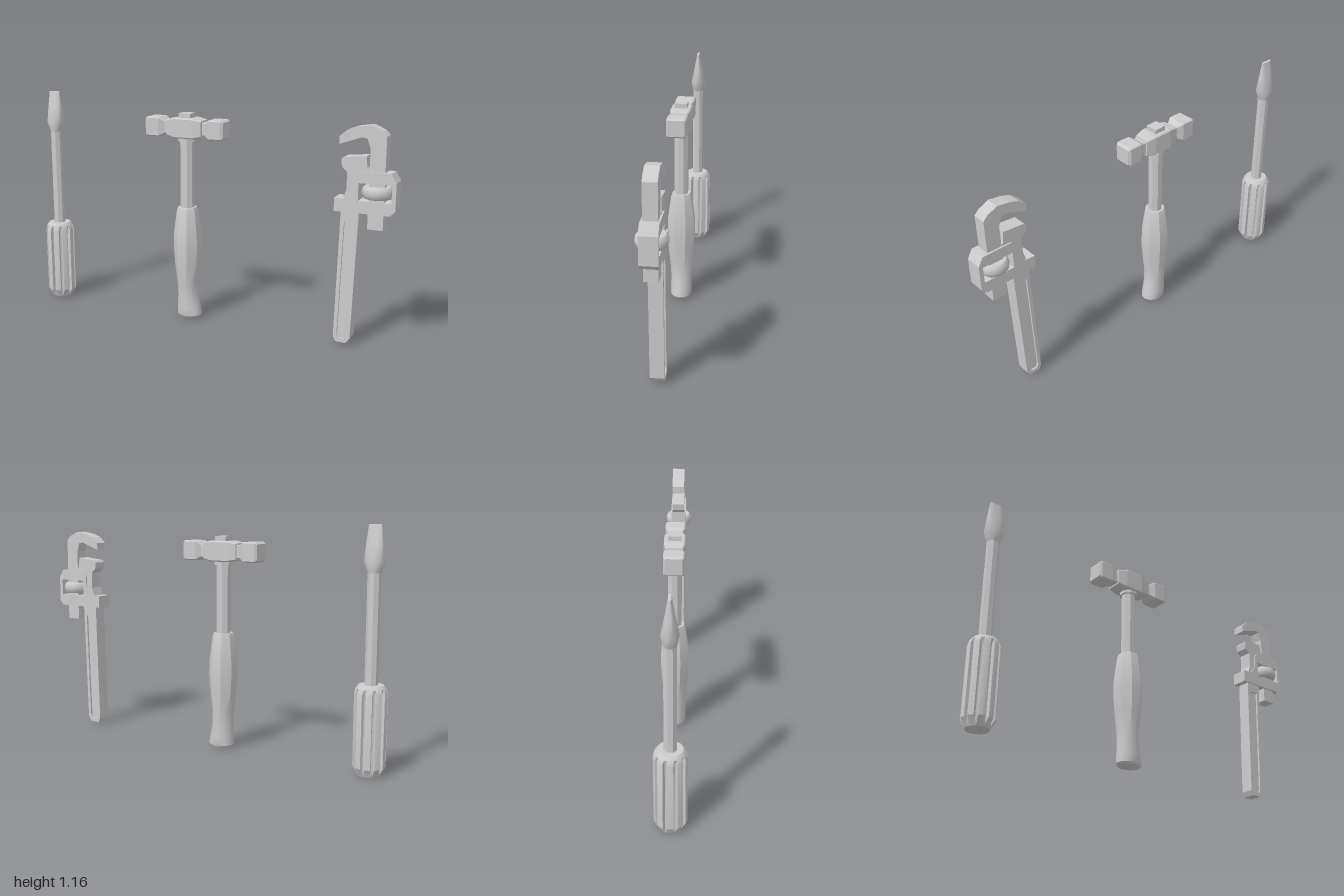
import * as THREE from 'three';
import { toCreasedNormals } from 'three/addons/utils/BufferGeometryUtils.js';

const TAU = Math.PI * 2;
const material = new THREE.MeshStandardMaterial({ color: 0xcccccc });

function add(parent, name, geometry, x = 0, y = 0, z = 0) {
  const mesh = new THREE.Mesh(geometry, material);
  mesh.name = name;
  mesh.position.set(x, y, z);
  parent.add(mesh);
  return mesh;
}

// Closed loft along y: each row becomes a ring of n points given by section(row, j) -> [x, z].
function loft(rows, n, section, crease = 0.6) {
  const pos = [], index = [];
  rows.forEach(row => {
    for (let j = 0; j < n; j++) {
      const [x, z] = section(row, j);
      pos.push(x, row.y, z);
    }
  });
  for (let i = 0; i < rows.length - 1; i++) {
    for (let j = 0; j < n; j++) {
      const a = i * n + j, b = i * n + (j + 1) % n;
      index.push(a, a + n, b, b, a + n, b + n);
    }
  }
  // End caps
  const last = rows.length - 1, bottom = rows.length * n, top = bottom + 1;
  pos.push(rows[0].x || 0, rows[0].y, 0, rows[last].x || 0, rows[last].y, 0);
  for (let j = 0; j < n; j++) {
    const k = (j + 1) % n;
    index.push(bottom, j, k, top, last * n + k, last * n + j);
  }
  const g = new THREE.BufferGeometry();
  g.setAttribute('position', new THREE.Float32BufferAttribute(pos, 3));
  g.setIndex(index);
  return toCreasedNormals(g, crease);
}

// Eight-sided bar with flat faces to the front and side
function octagonBar(radius, height) {
  const g = new THREE.CylinderGeometry(radius, radius, height, 8).rotateY(Math.PI / 8);
  return toCreasedNormals(g, 0.6);
}

const toShape = pts => new THREE.Shape(pts.map(p => new THREE.Vector2(...p)));

// Plate of the given thickness, centred on z = 0
function plate(pts, depth, hole) {
  const shape = toShape(pts);
  if (hole) shape.holes.push(toShape(hole));
  return new THREE.ExtrudeGeometry(shape, { depth, bevelEnabled: false }).translate(0, 0, -depth / 2);
}

function createScrewdriver() {
  const g = new THREE.Group();
  g.name = 'screwdriver';

  // Grip with grooves that fade out at the bevelled ends
  const ribs = 10, steps = [0, 0.3, 0.6, 0.7, 0.9];
  const gripRows = [
    { y: 0, r: 0.054, d: 0 }, { y: 0.012, r: 0.06, d: 0 }, { y: 0.042, r: 0.077, d: 0.015 },
    { y: 0.39, r: 0.077, d: 0.015 }, { y: 0.415, r: 0.07, d: 0 }, { y: 0.43, r: 0.058, d: 0 },
  ];
  add(g, 'screwdriverGrip', loft(gripRows, ribs * 5, (row, j) => {
    const a = (Math.floor(j / 5) + steps[j % 5] - 0.3) / ribs * TAU;
    const r = row.r - (j % 5 > 2 ? row.d : 0);
    return [r * Math.cos(a), r * Math.sin(a)];
  }, 0.5));

  add(g, 'screwdriverShaft', octagonBar(0.031, 0.56), 0, 0.69);

  // Blade: round at the flare, flattened toward the tip
  const bladeRows = [
    { y: 0.945, rx: 0.03, rz: 0.03, e: 1 }, { y: 0.995, rx: 0.05, rz: 0.04, e: 1 },
    { y: 1.08, rx: 0.042, rz: 0.022, e: 0.75 }, { y: 1.165, rx: 0.032, rz: 0.007, e: 0.5 },
  ];
  add(g, 'screwdriverBlade', loft(bladeRows, 24, (row, j) => {
    const a = j / 24 * TAU;
    const bend = v => Math.sign(v) * Math.abs(v) ** row.e;
    return [row.rx * bend(Math.cos(a)), row.rz * bend(Math.sin(a))];
  }));
  g.position.x = -0.923;
  return g;
}

function createHammer() {
  const g = new THREE.Group();
  g.name = 'hammer';

  // Grip: oval at the foot, turning octagonal above (o = 1)
  const gripRows = [
    { y: 0.008, rx: 0.058, rz: 0.05, x: 0.011, o: 0 }, { y: 0.018, rx: 0.067, rz: 0.056, x: 0.01, o: 0 },
    { y: 0.06, rx: 0.063, rz: 0.056, x: 0.007, o: 0 }, { y: 0.12, rx: 0.054, rz: 0.055, x: 0.002, o: 0.1 },
    { y: 0.19, rx: 0.053, rz: 0.059, x: 0, o: 0.4 }, { y: 0.28, rx: 0.062, rz: 0.066, x: 0, o: 0.8 },
    { y: 0.38, rx: 0.069, rz: 0.071, x: 0, o: 1 }, { y: 0.46, rx: 0.067, rz: 0.069, x: 0, o: 1 },
    { y: 0.585, rx: 0.052, rz: 0.052, x: 0, o: 1 }, { y: 0.602, rx: 0.046, rz: 0.046, x: 0, o: 1 },
  ];
  add(g, 'hammerGrip', loft(gripRows, 16, (row, j) => {
    const a = j / 16 * TAU;
    const k = 1 + (j % 2 ? row.o * (1 / Math.cos(Math.PI / 8) - 1) : 0);
    return [row.x + row.rx * k * Math.cos(a), row.rz * k * Math.sin(a)];
  }));

  add(g, 'hammerShaft', octagonBar(0.037, 0.38), 0, 0.78);
  add(g, 'hammerCollar', octagonBar(0.048, 0.03), 0, 0.963);

  // Head: chamfered square section swept along x, mirrored about the middle
  const half = [[0.05, 0.052], [0.098, 0.042], [0.1, 0.034], [0.116, 0.034], [0.143, 0.05], [0.21, 0.05], [0.222, 0.041]];
  const headRows = [...half.map(([y, r]) => ({ y: -y, r })).reverse(), ...half.map(([y, r]) => ({ y, r }))];
  const headGeometry = loft(headRows, 8, (row, j) => {
    const c = row.r * 0.88;
    const corner = Math.floor(j / 2), flip = j % 2;
    const sx = [1, -1, -1, 1][corner], sz = [1, 1, -1, -1][corner];
    const xFirst = (corner % 2 === 0) === (flip === 0);
    return [sx * (xFirst ? row.r : c), sz * (xFirst ? c : row.r)];
  }, 0.2).rotateZ(-Math.PI / 2);
  add(g, 'hammerHead', headGeometry, 0, 1.017);

  add(g, 'shaftEnd', new THREE.BoxGeometry(0.064, 0.06, 0.064), 0, 1.062);
  g.position.x = -0.103;
  return g;
}

function createWrench() {
  const g = new THREE.Group();
  g.name = 'wrench';

  // Handle: raised rim around a recessed web
  const rim = [[0.737, 0.69], [0.72, 0.04], [0.732, 0.015], [0.785, 0.013], [0.805, 0.04], [0.826, 0.69]];
  const web = [[0.755, 0.625], [0.738, 0.055], [0.745, 0.035], [0.777, 0.035], [0.788, 0.055], [0.806, 0.625]];
  add(g, 'wrenchHandleRim', plate(rim, 0.068, web));
  add(g, 'wrenchHandleWeb', plate(web, 0.048));

  // Fixed jaw
  add(g, 'fixedJaw', plate([
    [0.73, 0.925], [0.735, 0.89], [0.761, 0.868], [0.761, 0.785], [0.745, 0.735],
    [0.815, 0.735], [0.815, 0.87], [0.879, 0.87], [0.858, 0.895], [0.852, 0.948], [0.74, 0.936],
  ], 0.07));

  // Housing with a window for the adjusting nut
  add(g, 'housing', plate([
    [0.704, 0.675], [0.975, 0.675], [1, 0.7], [1, 0.833], [0.975, 0.876], [0.82, 0.876],
    [0.8, 0.853], [0.797, 0.79], [0.755, 0.74], [0.704, 0.74],
  ], 0.084, [[0.82, 0.735], [0.82, 0.82], [0.98, 0.82], [0.98, 0.735]]));

  // Sliding hook jaw
  add(g, 'hookJaw', plate([
    [0.718, 0.996], [0.825, 1.034], [0.852, 1.03], [0.868, 0.985], [0.868, 0.6], [0.943, 0.6],
    [0.943, 1.045], [0.92, 1.068], [0.868, 1.092], [0.8, 1.081], [0.756, 1.066], [0.718, 1.034],
  ], 0.066));

  // Adjusting nut with rounded rim
  const profile = [[0, -0.029], [0.062, -0.029], [0.07, -0.02], [0.074, 0], [0.07, 0.02], [0.062, 0.029], [0, 0.029]];
  const nut = new THREE.LatheGeometry(profile.map(p => new THREE.Vector2(...p)), 24);
  add(g, 'adjustingNut', toCreasedNormals(nut, 0.7), 0.902, 0.777);
  return g;
}

export function createModel() {
  const model = new THREE.Group();
  model.name = 'handTools';
  model.add(createScrewdriver(), createHammer(), createWrench());
  return model;
}
